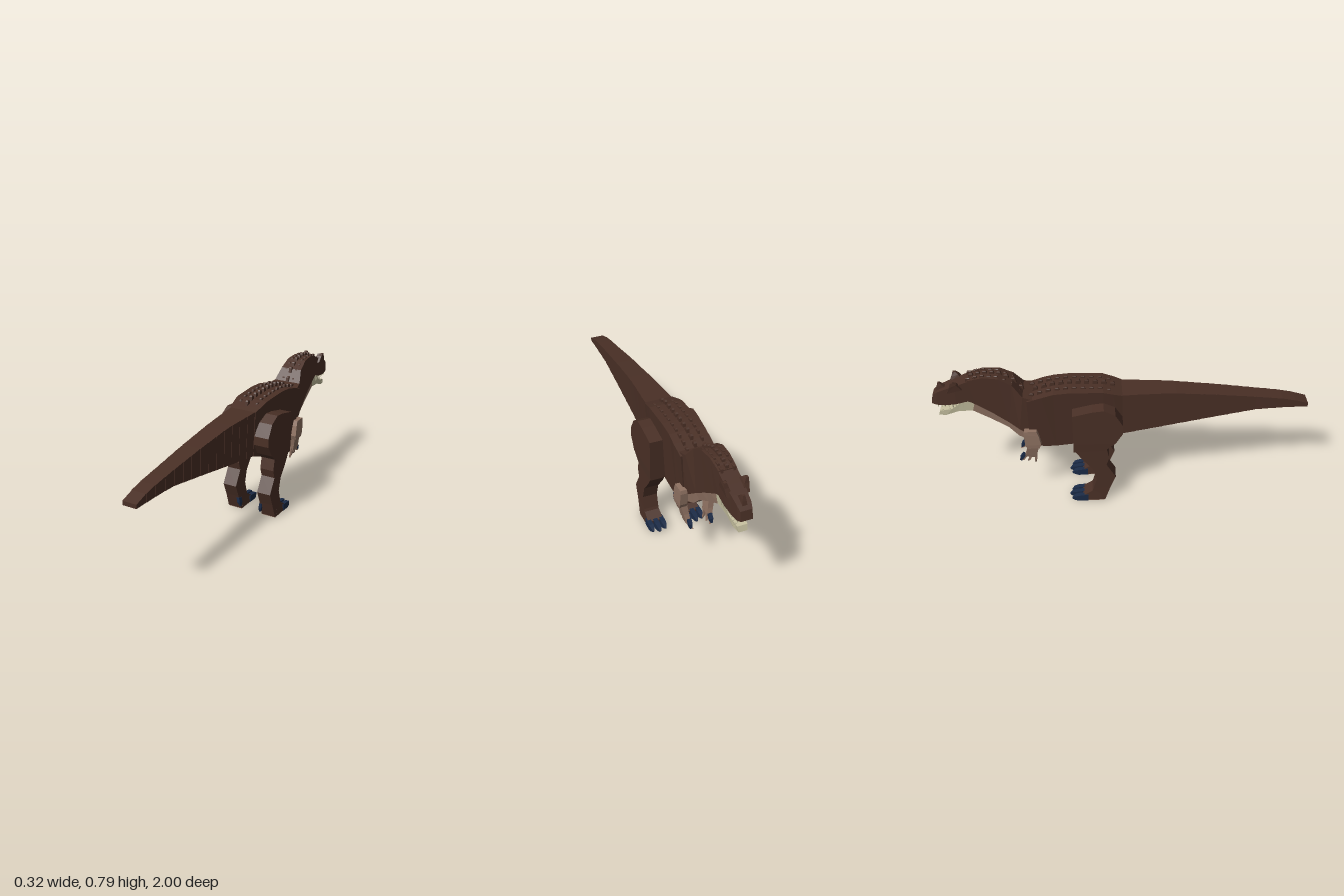
import * as THREE from 'three';

const paint = (name, color) => Object.assign(new THREE.MeshStandardMaterial({ color, flatShading: true }), { name });
const hide = paint('brown hide', 0x4a3026);
const skin = paint('tan skin', 0x8f7262);
const bone = paint('cream bone', 0xc4be9e);
const claw = paint('navy claw', 0x1b2b47);

// Closed four-sided loft. Each section: [zA, yA, zB, yB, halfWidthA, halfWidthB, xOffset]
function loft(name, mat, sections, cx = 0) {
  const rings = sections.map(([za, ya, zb, yb, wa, wb = wa, dx = 0]) => [
    new THREE.Vector3(cx + dx - wa, ya, za), new THREE.Vector3(cx + dx + wa, ya, za),
    new THREE.Vector3(cx + dx + wb, yb, zb), new THREE.Vector3(cx + dx - wb, yb, zb)]);
  const tris = [];
  const quad = (a, b, c, d) => tris.push([a, b, c], [a, c, d]);
  for (let i = 0; i < rings.length - 1; i++) {
    for (let k = 0; k < 4; k++) {
      const n = (k + 1) % 4;
      quad(rings[i][k], rings[i][n], rings[i + 1][n], rings[i + 1][k]);
    }
  }
  const first = rings[0], last = rings[rings.length - 1];
  quad(first[3], first[2], first[1], first[0]);
  quad(last[0], last[1], last[2], last[3]);
  // Turn the faces outward whichever way the sections run
  const centre = first[0].clone().add(last[2]).multiplyScalar(0.5);
  let volume = 0;
  for (const [a, b, c] of tris) {
    volume += a.clone().sub(centre).dot(b.clone().sub(centre).cross(c.clone().sub(centre)));
  }
  const points = tris.flatMap(([a, b, c]) => (volume < 0 ? [a, c, b] : [a, b, c]));
  const geometry = new THREE.BufferGeometry().setFromPoints(points);
  geometry.computeVertexNormals();
  const mesh = new THREE.Mesh(geometry, mat);
  mesh.name = name;
  return mesh;
}

// Centre-line profile: [z, top, bottom, half width at top, half width at bottom]
const tailProfile = [
  [1, 0.557, 0.535, 0.037, 0.036], [0.9, 0.588, 0.535, 0.04, 0.038], [0.73, 0.61, 0.53, 0.043, 0.041],
  [0.5, 0.637, 0.49, 0.05, 0.046], [0.25, 0.66, 0.445, 0.058, 0.052], [0, 0.664, 0.405, 0.074, 0.064]];
const bodyProfile = [
  [0, 0.664, 0.405, 0.078, 0.066], [-0.05, 0.68, 0.385, 0.087, 0.068], [-0.1, 0.695, 0.365, 0.092, 0.07],
  [-0.27, 0.7, 0.348, 0.094, 0.072], [-0.36, 0.692, 0.338, 0.094, 0.072], [-0.42, 0.676, 0.337, 0.097, 0.072],
  [-0.5, 0.65, 0.348, 0.094, 0.068]];
const neckTop = [[-0.5, 0.655], [-0.52, 0.67], [-0.57, 0.735], [-0.64, 0.772], [-0.72, 0.778], [-0.8, 0.758]];

// Linear interpolation of a profile column at z
function sample(profile, z, column) {
  let i = 0;
  while (i < profile.length - 2 && z < profile[i + 1][0]) i++;
  const a = profile[i], b = profile[i + 1];
  return THREE.MathUtils.lerp(a[column], b[column], (a[0] - z) / (a[0] - b[0]));
}

function createTail() {
  const tail = new THREE.Group();
  tail.name = 'tail';
  const count = 14;
  // Overlapping segments leave a fine step at each joint
  for (let i = 0; i < count; i++) {
    const z0 = 1 - i / count, z1 = 1 - (i + 1) / count;
    const section = (z, grow) => {
      const [t, b, wt, wb] = [1, 2, 3, 4].map((c) => sample(tailProfile, z, c));
      return [z, t, z, b, wt + grow, wb + grow];
    };
    tail.add(loft('tailSegment', hide, [section(z0, 0.002), section(z1, 0)]));
  }
  return tail;
}

function createRidges() {
  const ridges = new THREE.Group();
  ridges.name = 'ridges';
  const spike = (x, y, z, h, w = 0.008) => ridges.add(loft('scute', hide, [
    [z + 0.016, y - 0.015, z - 0.016, y - 0.015, w],
    [z + 0.01, y + h * 0.7, z - 0.012, y + h * 0.7, w],
    [z + 0.006, y + h, z - 0.005, y + h, w * 0.7]], x));
  for (let z = -0.05; z > -0.47; z -= 0.045) {
    const y = sample(bodyProfile, z, 1);
    spike(0, y, z, 0.024);
    for (const s of [-1, 1]) spike(s * 0.05, y, z - 0.02, 0.012, 0.006);
  }
  for (let z = -0.53; z > -0.8; z -= 0.036) {
    const y = sample(neckTop, z, 1);
    spike(0, y, z, 0.016);
    for (const s of [-1, 1]) spike(s * 0.032, y, z - 0.012, 0.008, 0.006);
  }
  return ridges;
}

function createHead() {
  const head = new THREE.Group();
  head.name = 'head';
  head.add(loft('skull', hide, [
    [-0.76, 0.77, -0.77, 0.62, 0.046], [-0.82, 0.745, -0.81, 0.63, 0.046], [-0.87, 0.725, -0.87, 0.615, 0.046],
    [-0.92, 0.705, -0.93, 0.605, 0.04], [-0.965, 0.685, -0.975, 0.608, 0.036], [-0.99, 0.665, -1, 0.615, 0.03]]));
  head.add(loft('noseHorn', hide, [
    [-0.915, 0.695, -0.975, 0.67, 0.014], [-0.94, 0.715, -0.968, 0.7, 0.01], [-0.951, 0.727, -0.96, 0.725, 0.006]]));
  // Lower jaw, open
  head.add(loft('lowerJaw', bone, [
    [-0.77, 0.635, -0.79, 0.565, 0.042, 0.036], [-0.85, 0.615, -0.87, 0.558, 0.038, 0.032],
    [-0.9, 0.575, -0.935, 0.533, 0.034, 0.028], [-0.965, 0.56, -0.975, 0.532, 0.026, 0.022]]));
  for (const s of [-1, 1]) {
    head.add(loft('browHorn', hide, [
      [-0.83, 0.71, -0.91, 0.69, 0.016], [-0.855, 0.745, -0.892, 0.73, 0.012, 0.012, s * 0.008],
      [-0.872, 0.757, -0.885, 0.755, 0.007, 0.007, s * 0.012]], s * 0.042));
    // Two rows of teeth on each side
    for (let i = 0; i < 8; i++) {
      const z = -0.835 - i * 0.019;
      const x = s * (0.04 - i * 0.0015);
      head.add(loft('upperTooth', bone, [
        [z + 0.006, 0.622, z - 0.006, 0.622, 0.004], [z + 0.001, 0.59, z - 0.001, 0.59, 0.001]], x));
      const y = i < 2 ? 0.612 : Math.max(0.558, 0.615 - i * 0.012);
      if (i < 7) head.add(loft('lowerTooth', bone, [
        [z + 0.004, y - 0.008, z - 0.004, y - 0.008, 0.003], [z + 0.001, y + 0.014, z - 0.001, y + 0.014, 0.001]], x * 0.8));
    }
  }
  return head;
}

function createLeg(s) {
  const leg = new THREE.Group();
  leg.name = s > 0 ? 'leftLeg' : 'rightLeg';
  // Thigh, sections running downward from rear edge to front edge
  leg.add(loft('thigh', hide, [
    [-0.1, 0.627, -0.16, 0.62, 0.049], [-0.04, 0.595, -0.265, 0.595, 0.049], [0, 0.525, -0.265, 0.525, 0.049],
    [0, 0.475, -0.265, 0.475, 0.049], [-0.04, 0.41, -0.265, 0.41, 0.049], [-0.1, 0.36, -0.265, 0.355, 0.047]], s * 0.109));
  leg.add(loft('shin', hide, [
    [-0.09, 0.38, -0.265, 0.37, 0.041], [-0.075, 0.305, -0.222, 0.3, 0.041], [-0.09, 0.257, -0.165, 0.23, 0.041],
    [-0.04, 0.17, -0.145, 0.155, 0.041], [-0.07, 0.095, -0.165, 0.085, 0.041], [-0.1, 0.006, -0.2, 0.006, 0.043]], s * 0.11));
  leg.add(loft('foot', hide, [
    [-0.14, 0.09, -0.11, 0.006, 0.04, 0.044], [-0.18, 0.065, -0.18, 0.006, 0.042, 0.045],
    [-0.225, 0.038, -0.225, 0.006, 0.044]], s * 0.11));
  leg.add(loft('sole', skin, [[-0.105, 0.006, -0.105, 0, 0.042], [-0.22, 0.006, -0.22, 0, 0.042]], s * 0.11));
  // Three front toes and a raised hind claw
  for (const k of [-1, 0, 1]) {
    const reach = k === 0 ? 0.012 : 0;
    leg.add(loft('toeClaw', claw, [
      [-0.195, 0.046, -0.195, 0.004, 0.012], [-0.25, 0.04, -0.25, 0.004, 0.013],
      [-0.272 - reach, 0.034, -0.268 - reach, 0.008, 0.01], [-0.285 - reach, 0.018, -0.28 - reach, 0.01, 0.004]],
    s * 0.11 + k * 0.036));
  }
  leg.add(loft('hindClaw', claw, [
    [-0.07, 0.085, -0.1, 0.08, 0.008], [-0.07, 0.055, -0.1, 0.05, 0.009, 0.009, -s * 0.005],
    [-0.08, 0.028, -0.088, 0.026, 0.004, 0.004, -s * 0.01]], s * 0.075));
  return leg;
}

function createArm(s) {
  const arm = new THREE.Group();
  arm.name = s > 0 ? 'leftArm' : 'rightArm';
  arm.add(loft('upperArm', skin, [
    [-0.46, 0.46, -0.525, 0.46, 0.02], [-0.45, 0.43, -0.53, 0.44, 0.021],
    [-0.44, 0.37, -0.525, 0.37, 0.021], [-0.45, 0.345, -0.515, 0.345, 0.019]], s * 0.083));
  arm.add(loft('forearm', skin, [
    [-0.452, 0.355, -0.515, 0.355, 0.017], [-0.465, 0.3, -0.525, 0.3, 0.015, 0.015, -s * 0.01],
    [-0.47, 0.262, -0.535, 0.268, 0.013, 0.013, -s * 0.016]], s * 0.077));
  // Fingers fan from rear to front
  for (let k = 0; k < 3; k++) {
    const z = -0.474 - k * 0.024, lean = -0.004 - k * 0.012, tip = 0.208 + k * 0.012;
    arm.add(loft('finger', skin, [
      [z + 0.007, 0.275, z - 0.009, 0.275, 0.009], [z + lean + 0.006, 0.235, z + lean - 0.006, 0.235, 0.007],
      [z + lean * 1.5 + 0.002, tip, z + lean * 1.5 - 0.003, tip, 0.004, 0.004, -s * 0.01]], s * 0.058));
  }
  arm.add(loft('fingerClaw', claw, [
    [-0.53, 0.272, -0.545, 0.282, 0.01], [-0.545, 0.248, -0.562, 0.258, 0.01], [-0.556, 0.23, -0.566, 0.235, 0.005]], s * 0.058));
  return arm;
}

export function createModel() {
  const model = new THREE.Group();
  model.name = 'dinosaur';
  model.add(createTail());
  model.add(loft('body', hide, bodyProfile.map(([z, t, b, wt, wb]) => [z, t, z, b, wt, wb])));
  model.add(loft('neck', hide, [
    [-0.47, 0.66, -0.48, 0.4, 0.09, 0.07], [-0.52, 0.67, -0.55, 0.45, 0.08, 0.064], [-0.57, 0.735, -0.6, 0.49, 0.062, 0.056],
    [-0.64, 0.772, -0.68, 0.55, 0.056, 0.05], [-0.72, 0.778, -0.77, 0.61, 0.05, 0.046], [-0.8, 0.758, -0.81, 0.635, 0.046]]));
  model.add(loft('throat', skin, [
    [-0.49, 0.46, -0.5, 0.36, 0.06, 0.048], [-0.57, 0.5, -0.56, 0.395, 0.056, 0.045], [-0.62, 0.53, -0.61, 0.45, 0.052, 0.04],
    [-0.69, 0.58, -0.695, 0.505, 0.047, 0.036], [-0.78, 0.635, -0.795, 0.565, 0.042, 0.034]]));
  model.add(createRidges(), createHead());
  for (const s of [-1, 1]) model.add(createLeg(s), createArm(s));
  return model;
}
